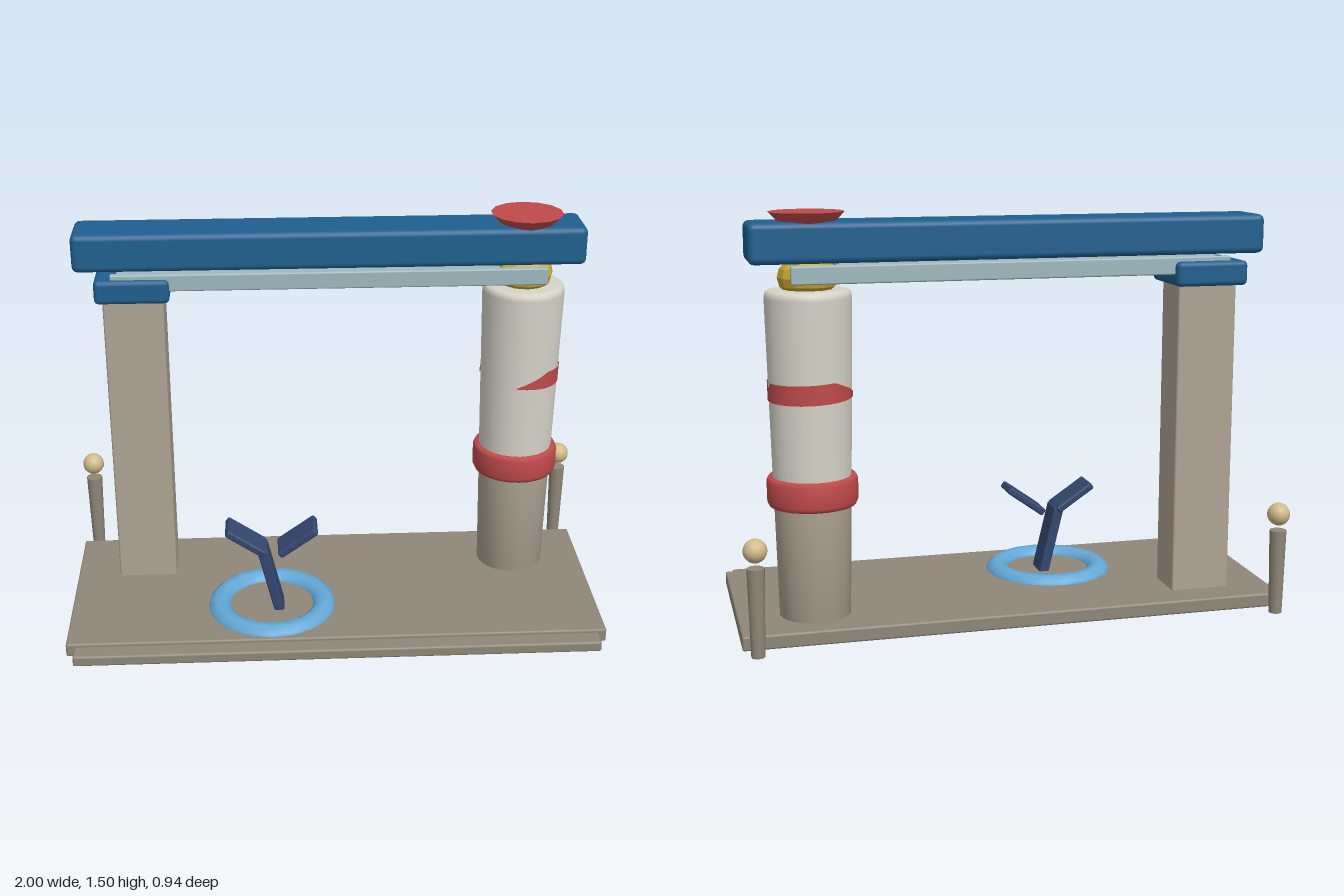
import * as THREE from 'three';
import { RoundedBoxGeometry } from 'three/addons/geometries/RoundedBoxGeometry.js';

const COLORS = {
  stone: 0x8f8778, post: 0xaea494, pale: 0xd6d3c8, blue: 0x1f5f8f, red: 0xc04a4a, rail: 0x9fb9be,
  gold: 0xc9a934, ring: 0x63a9d8, navy: 0x33476f, cream: 0xd2ba8a, brown: 0x6e5f3c,
};

export function createModel() {
  const model = new THREE.Group();
  const add = (name, geometry, color, x = 0, y = 0, z = 0, opts = {}) => {
    const material = new THREE.MeshStandardMaterial({ color: COLORS[color], ...opts });
    const mesh = new THREE.Mesh(geometry, material);
    mesh.name = name;
    mesh.position.set(x, y, z);
    model.add(mesh);
    return mesh;
  };
  // Bevelled box given by its extents on each axis
  const block = (name, color, [x0, x1], [y0, y1], [z0, z1], bevel = 0.008) =>
    add(name, new RoundedBoxGeometry(x1 - x0, y1 - y0, z1 - z0, 2, bevel), color,
      (x0 + x1) / 2, (y0 + y1) / 2, (z0 + z1) / 2);
  const points = (list) => list.map(([r, y]) => new THREE.Vector2(r, y));

  // Platform with a front step and an underside plate
  block('platform', 'stone', [-1, 1], [0.01, 0.063], [-0.37, 0.405]);
  block('frontStep', 'stone', [-0.97, 0.97], [0.009, 0.05], [0.32, 0.47]);
  block('undersidePlate', 'brown', [-0.3, 0.36], [0.006, 0.03], [-0.14, 0.28], 0.002);

  // Square post and its cap
  block('squarePost', 'post', [-0.835, -0.613], [0.02, 1.23], [-0.25, -0.08]);
  block('postCap', 'blue', [-0.86, -0.588], [1.215, 1.305], [-0.3, -0.035], 0.018);

  // Crossbeam with rails beneath it
  block('crossbeam', 'blue', [-0.935, 0.93], [1.327, 1.468], [-0.267, -0.062], 0.022);
  block('railBed', 'rail', [-0.78, 0.62], [1.27, 1.315], [-0.262, -0.064], 0.004);
  for (const z of [-0.064, -0.262]) {
    block('sideRail', 'rail', [-0.8, 0.79], [1.258, 1.322], [z - 0.013, z + 0.013], 0.006);
  }

  // Round column, darker below the collar
  const cx = 0.72, cz = -0.163;
  add('columnBase', new THREE.LatheGeometry(points([[0, 0.02], [0.127, 0.02], [0.138, 0.52]]), 24),
    'post', cx, 0, cz);
  add('columnShaft', new THREE.LatheGeometry(points([
    [0.138, 0.5], [0.153, 1.205], [0.151, 1.22], [0.143, 1.23], [0.125, 1.234], [0, 1.234]]), 24),
    'pale', cx, 0, cz);
  add('collar', new THREE.LatheGeometry(points([
    [0.13, 0.468], [0.154, 0.47], [0.161, 0.485], [0.162, 0.52], [0.161, 0.56], [0.154, 0.573], [0.13, 0.575]]), 32),
    'red', cx, 0, cz);

  // Painted stripe, wrapping three quarters of the shaft and tapering at both ends
  const stripe = new THREE.CylinderGeometry(1, 1, 1, 60, 1, true, -0.2, 4.9);
  const pos = stripe.attributes.position, uv = stripe.attributes.uv;
  for (let i = 0; i < pos.count; i++) {
    const u = uv.getX(i);
    const taper = Math.min(1, u / 0.17, (1 - u) / 0.22);
    const notch = u > 0.34 && u < 0.41 ? (u - 0.34) * 0.3 : 0;
    const low = 0.858 - 0.012 * Math.sin(u * Math.PI);
    const high = low + 0.004 + 0.06 * taper + 0.01 * u * taper - notch;
    const y = uv.getY(i) > 0.5 ? high : low;
    const r = 0.138 + 0.015 * (y - 0.5) / 0.705 + 0.003;
    pos.setXYZ(i, pos.getX(i) * r, y, pos.getZ(i) * r);
  }
  stripe.computeVertexNormals();
  add('paintedStripe', stripe, 'red', cx, 0, cz, { side: THREE.DoubleSide });

  // Gold bearing and flared disc on top
  const bearing = add('bearing', new THREE.SphereGeometry(0.106, 12, 8), 'gold', cx, 1.275, cz,
    { flatShading: true });
  bearing.scale.y = 0.75;
  add('topDisc', new THREE.CylinderGeometry(0.133, 0.06, 0.075, 14), 'red', cx, 1.4625, cz,
    { flatShading: true });

  // Floor ring
  const ring = add('floorRing', new THREE.TorusGeometry(0.2, 0.047, 10, 20), 'ring', -0.24, 0.047, 0.153);
  ring.rotation.x = Math.PI / 2;

  // Forked lever: flat bars between two points in the front plane
  const bar = (name, [ax, ay], [bx, by], thickness, depth) => {
    const length = Math.hypot(bx - ax, by - ay);
    const mesh = add(name, new RoundedBoxGeometry(length, thickness, depth, 2, 0.008), 'navy',
      (ax + bx) / 2, (ay + by) / 2, 0.153);
    mesh.rotation.z = Math.atan2(by - ay, bx - ax);
  };
  bar('leverStem', [-0.21, 0.05], [-0.273, 0.315], 0.038, 0.106);
  bar('leverArm', [-0.265, 0.305], [-0.405, 0.4], 0.028, 0.122);
  bar('leverArm', [-0.21, 0.3], [-0.07, 0.4], 0.028, 0.122);

  // Rear stakes with ball tops
  for (const x of [-0.952, 0.952]) {
    add('stake', new THREE.CylinderGeometry(0.031, 0.024, 0.315, 12), 'stone', x, 0.168, -0.43);
    add('stakeBall', new THREE.SphereGeometry(0.042, 14, 10), 'cream', x, 0.386, -0.43);
  }
  return model;
}
